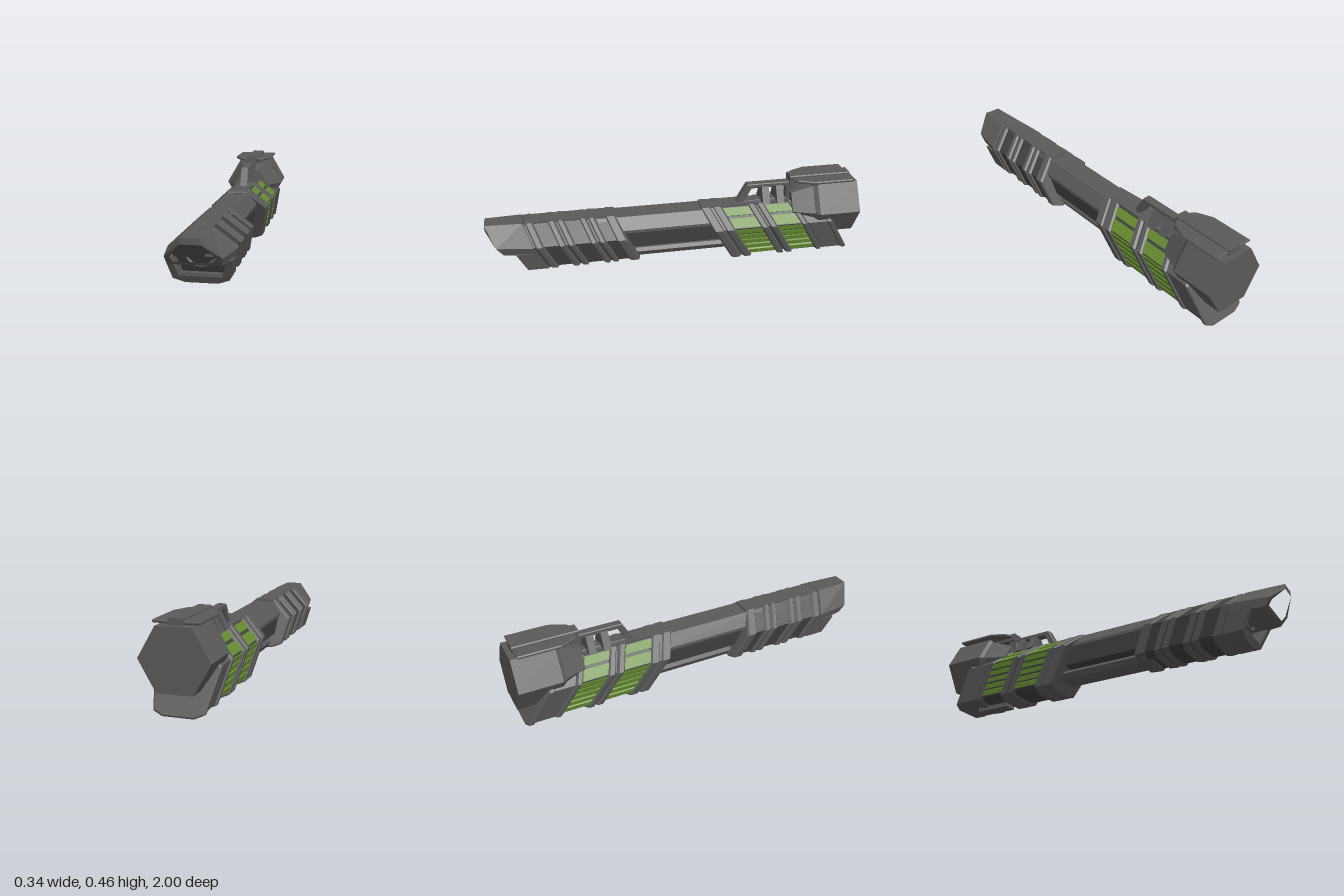
import * as THREE from 'three';

const paint = (name, color) => {
  const m = new THREE.MeshStandardMaterial({ color });
  m.name = name;
  return m;
};

export function createModel() {
  const grey = paint('gunmetal grey', 0x5a5a5a);
  const dark = paint('dark grey', 0x404040);
  const green = paint('cell green', 0x648a30);
  const model = new THREE.Group();

  const add = (name, geometry, material) => {
    const mesh = new THREE.Mesh(geometry, material);
    mesh.name = name;
    model.add(mesh);
    return mesh;
  };
  const flat = (g) => {
    const out = g.index ? g.toNonIndexed() : g;
    out.computeVertexNormals();
    return out;
  };
  // full outline from its +x half, listed top to bottom
  const mirror = (half) => [...half, ...half.map(([x, y]) => [-x, y]).reverse()];
  const scaled = (half, s) => half.map(([x, y]) => [x * s, 0.2 + (y - 0.2) * s]);
  const toShape = (pts) => new THREE.Shape(pts.map(([x, y]) => new THREE.Vector2(x, y)));
  const extrude = (pts, depth, bevel = 0, hole = null) => {
    const shape = toShape(pts);
    if (hole) shape.holes.push(toShape(hole));
    const g = new THREE.ExtrudeGeometry(shape, {
      depth: depth - 2 * bevel, bevelEnabled: bevel > 0, bevelSize: bevel,
      bevelThickness: bevel, bevelOffset: -bevel, bevelSegments: 1,
    });
    return g.translate(0, 0, bevel);
  };
  const deform = (g, rule) => {
    const p = g.attributes.position, v = new THREE.Vector3();
    for (let i = 0; i < p.count; i++) {
      rule(v.fromBufferAttribute(p, i));
      p.setXYZ(i, v.x, v.y, v.z);
    }
    return flat(g);
  };
  // slab between two z values measured at the roof, leaning back by k
  const slab = (name, pts, z0, z1, k, material, bevel = 0, hole = null) =>
    add(name, deform(extrude(pts, z1 - z0, bevel, hole), (v) => {
      v.z += z0 + k * (v.y - 0.32);
    }), material);
  const box = (name, w, h, d, x, y, z, material) =>
    add(name, new THREE.BoxGeometry(w, h, d).translate(x, y, z), material);

  const foreHalf = [[0.055, 0.32], [0.16, 0.225], [0.13, 0.085], [0.075, 0.065]];
  const rearHalf = [[0.055, 0.32], [0.16, 0.225], [0.12, 0.035], [0.075, 0.016]];
  const KF = 0.5, KR = 0.58;

  // fore grip: dark panels between pairs of leaning ribs
  slab('foregripCore', mirror(scaled(foreHalf, 0.93)), 0.33, 0.82, KF, dark);
  for (const [a, b] of [[0.325, 0.38], [0.435, 0.47], [0.48, 0.515], [0.595, 0.632],
    [0.642, 0.68], [0.755, 0.797]])
    slab('foregripRib', mirror(foreHalf), a, b, KF, grey, 0.008);
  box('foregripSpine', 0.1, 0.016, 0.48, 0, 0.312, 0.56, grey);

  // muzzle hood, narrowing and raked at the front
  const hood = mirror([[0.055, 0.32], [0.16, 0.225], [0.152, 0.182]]);
  const hoodHole = mirror([[0.058, 0.292], [0.13, 0.222], [0.122, 0.198]]);
  add('muzzleHood', deform(extrude(hood, 1, 0, hoodHole), (v) => {
    const t = v.z;
    const back = 0.807 + KF * (v.y - 0.32);
    const front = 1 + 0.8 * (Math.min(v.y, 0.29) - 0.29);
    v.x *= 1 - 0.2 * t;
    v.z = back + (front - back) * t;
  }), grey);
  slab('hoodInterior', mirror([[0.05, 0.295], [0.12, 0.222], [0.115, 0.195]]), 0.8, 0.9, KF, dark);
  box('hoodSlot', 0.04, 0.011, 0.012, 0.053, 0.211, 0.85, grey);

  // lower jaw and bore ring
  slab('lowerJaw', [[0.153, 0.19], [0.13, 0.085], [0.075, 0.065], [-0.075, 0.065], [-0.13, 0.085],
    [-0.153, 0.19], [-0.125, 0.19], [-0.1, 0.1], [0.1, 0.1], [0.125, 0.19]], 0.807, 0.915, KF, grey);
  slab('jawInterior', mirror([[0.13, 0.19], [0.105, 0.095]]), 0.8, 0.835, KF, dark);
  box('jawBar', 0.19, 0.012, 0.03, 0, 0.107, 0.785, grey);
  add('boreRing', new THREE.TorusGeometry(0.075, 0.007, 6, 24, Math.PI)
    .rotateZ(Math.PI).translate(0, 0.22, 0.79), grey);

  // barrel and the separate rail below it
  slab('barrelRoof', mirror([[0.058, 0.31], [0.103, 0.25], [0.103, 0.234]]), -0.25, 0.42, 0, grey);
  slab('barrelBody', mirror([[0.095, 0.24], [0.085, 0.14]]), -0.3, 0.4, 0, dark);
  slab('lowerRail', mirror([[0.06, 0.118], [0.072, 0.1], [0.055, 0.07]]), -0.32, 0.28, 0, grey);

  // receiver with leaning ribs
  slab('receiverCore', mirror(scaled(rearHalf, 0.91)), -0.7, -0.15, KR, dark);
  for (const [a, b] of [[-0.19, -0.135], [-0.25, -0.2], [-0.435, -0.395], [-0.485, -0.445], [-0.655, -0.62]])
    slab('receiverRib', mirror(rearHalf), a, b, KR, grey, 0.008);
  slab('receiverCollar', mirror(scaled(rearHalf, 0.95)), -0.24, -0.16, KR, grey);
  box('receiverSpine', 0.1, 0.016, 0.5, 0, 0.312, -0.41, grey);

  // green cells: raised strips along the roof slopes and flanks
  const strips = [[0, 0.06, 0.4], [0, 0.52, 0.94], [1, 0.04, 0.17], [1, 0.23, 0.36],
    [1, 0.42, 0.55], [1, 0.61, 0.74], [1, 0.8, 0.93]];
  const along = (edge, t, s) => scaled([[0, 1].map((i) =>
    rearHalf[edge][i] + (rearHalf[edge + 1][i] - rearHalf[edge][i]) * t)], s)[0];
  for (const [z0, z1] of [[-0.395, -0.25], [-0.62, -0.485]])
    for (const side of [1, -1])
      for (const [edge, a, b] of strips) {
        const quad = [along(edge, a, 0.9), along(edge, a, 0.965), along(edge, b, 0.965), along(edge, b, 0.9)];
        slab('greenCell', quad.map(([x, y]) => [x * side, y]), z0, z1, KR, green);
      }

  // tail clamp under the end cap
  slab('tailClamp', mirror(scaled(rearHalf, 0.96)), -0.775, -0.66, KR, grey);
  slab('tailRib', mirror(rearHalf), -0.8, -0.765, KR, grey, 0.008);
  box('tailKeel', 0.07, 0.025, 0.2, 0, 0.0125, -0.76, grey);

  // hexagonal end cap with tapered front
  const capProfile = [[0, -1], [0.17, -1], [0.17, -0.775], [0.155, -0.755], [0.15, -0.755],
    [0.105, -0.64], [0, -0.64]].map(([r, z]) => new THREE.Vector2(r, z));
  add('endCap', flat(new THREE.LatheGeometry(capProfile, 6, Math.PI / 2)
    .rotateX(Math.PI / 2).translate(0, 0.275, 0)), grey);

  // top plate and its central rail
  const plate = mirror([[0.05, 0.65], [0.075, 0.67], [0.11, 0.75], [0.11, 0.97]]);
  add('topPlate', flat(extrude(plate, 0.016, 0.005).rotateX(-Math.PI / 2)
    .translate(0, 0.428, 0)), grey).geometry.computeBoundingSphere();
  slab('topRail', mirror([[0.03, 0.455], [0.035, 0.45], [0.035, 0.41]]), -0.975, -0.635, 0, grey);

  // carrying handle, drawn in side view and turned across the body
  const arch = [[-0.34, 0.315], [-0.4, 0.42], [-0.68, 0.42], [-0.68, 0.315]];
  const gap = [[-0.385, 0.325], [-0.425, 0.395], [-0.62, 0.395], [-0.62, 0.325]];
  add('handle', flat(extrude(arch, 0.046, 0.004, gap).rotateY(-Math.PI / 2)
    .translate(0.023, 0, 0)), grey);
  for (const z of [-0.5, -0.58])
    slab('handleBrace', mirror([[0.022, 0.405], [0.068, 0.315]]), z - 0.02, z + 0.02, 0, grey);

  return model;
}
